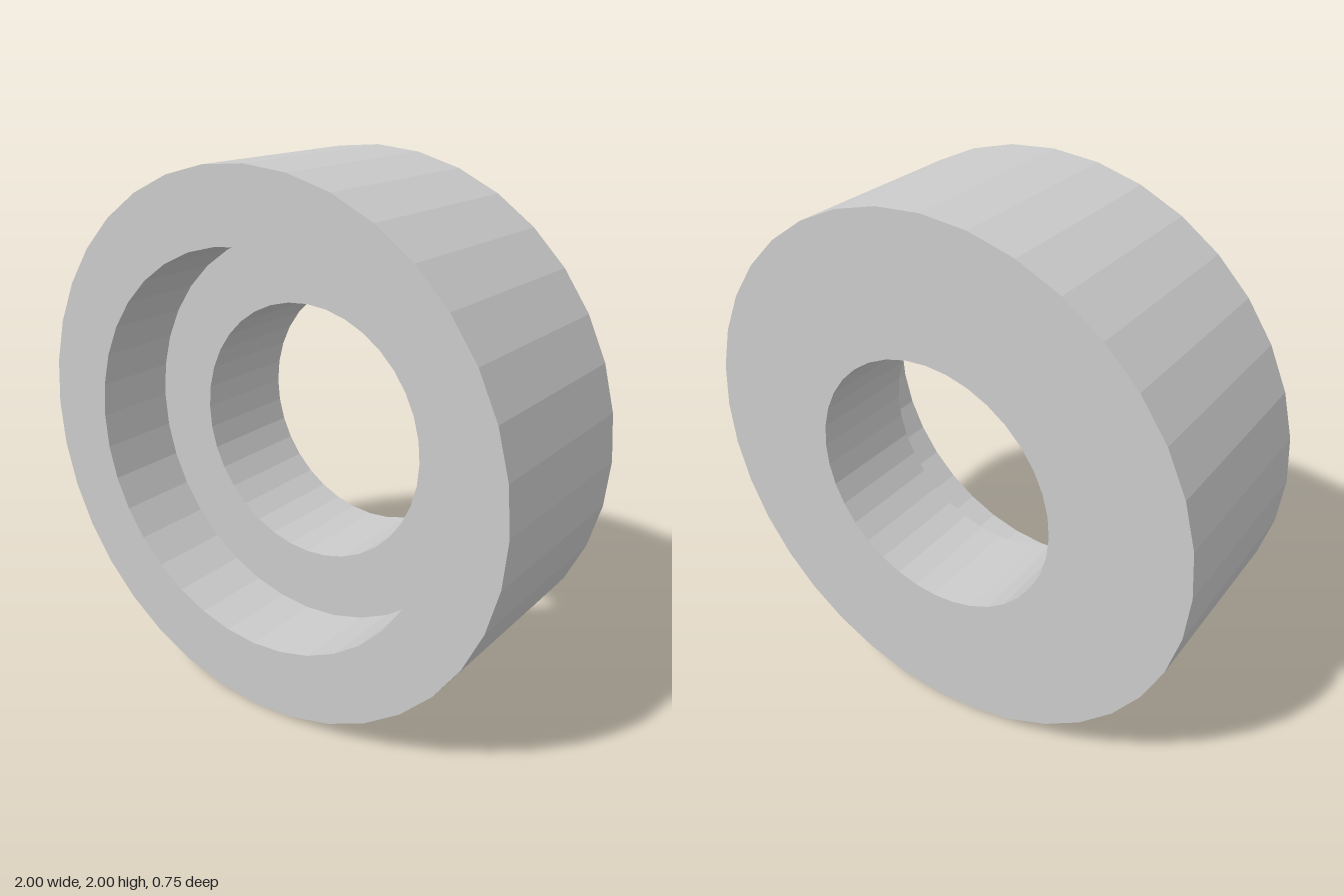
import * as THREE from 'three';

const OUTER = 1, RECESS = 0.735, BORE = 0.487; // radii
const HALF = 0.375, FLOOR = 0.05; // half width and height of the recess floor
const SIDES = 36;

export function createModel() {
  const group = new THREE.Group();
  group.name = 'steppedRing';

  // Closed cross-section: back face, rim, front face, recess wall, recess floor, bore
  const profile = [
    [BORE, -HALF], [OUTER, -HALF], [OUTER, HALF],
    [RECESS, HALF], [RECESS, FLOOR], [BORE, FLOOR], [BORE, -HALF],
  ].map(([r, h]) => new THREE.Vector2(r, h));

  // Lathe axis turned to point at the front
  const geometry = new THREE.LatheGeometry(profile, SIDES);
  geometry.rotateX(Math.PI / 2);

  const material = new THREE.MeshStandardMaterial({ color: 0xcccccc, flatShading: true });
  const ring = new THREE.Mesh(geometry, material);
  ring.name = 'counterboredRing';
  ring.position.y = OUTER;
  group.add(ring);

  return group;
}
